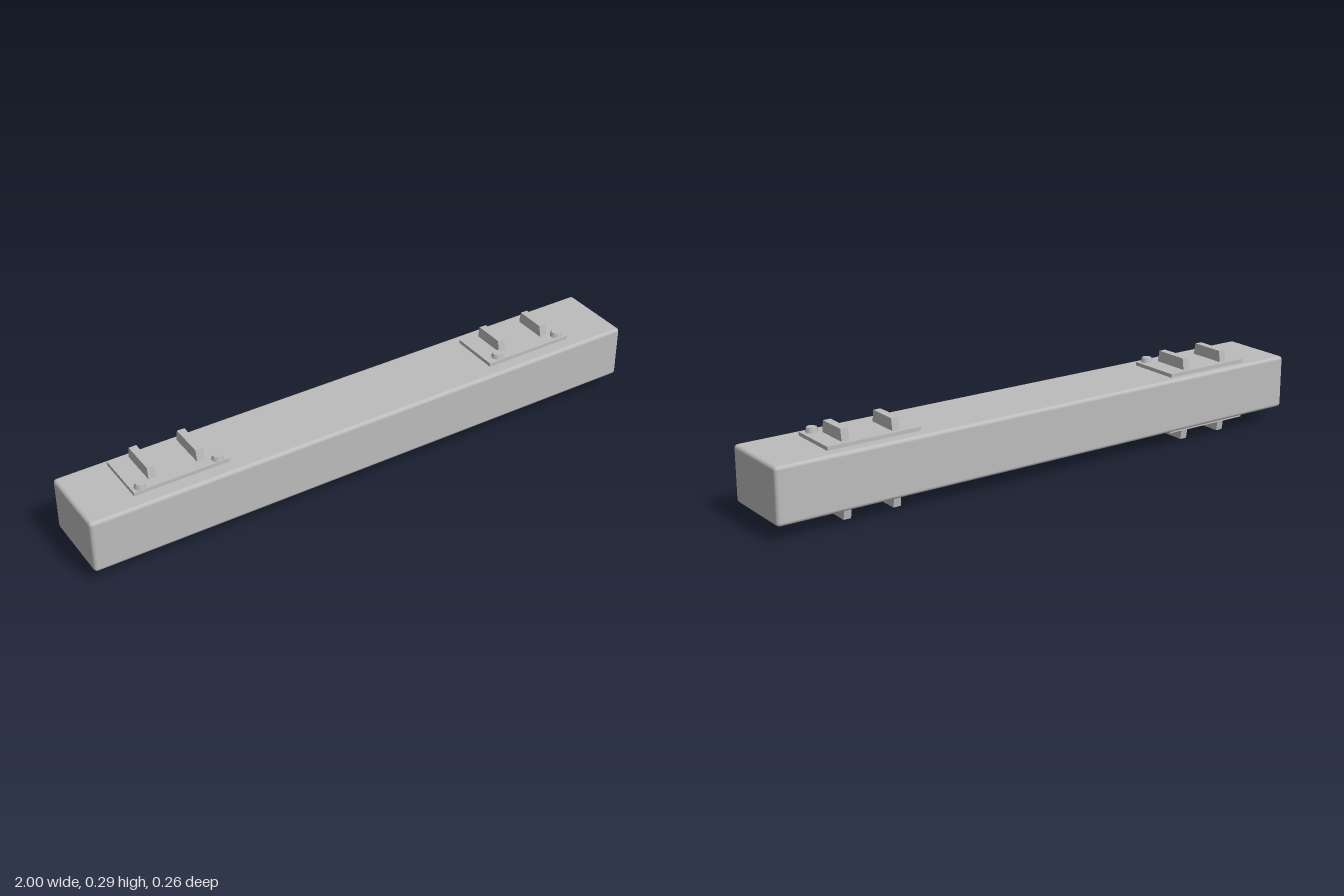
import * as THREE from 'three';
import { RoundedBoxGeometry } from 'three/addons/geometries/RoundedBoxGeometry.js';

const MID_Y = 0.145; // height of the beam's centre line

export function createModel() {
  const grey = new THREE.MeshStandardMaterial({ color: 0xbcbcbc });
  grey.name = 'plain grey';
  const model = new THREE.Group();
  model.name = 'railwaySleeper';

  const add = (parent, name, geometry, x, y, z) => {
    const mesh = new THREE.Mesh(geometry, grey);
    mesh.name = name;
    mesh.position.set(x, y, z);
    parent.add(mesh);
    return mesh;
  };

  // Long beam with softened edges
  add(model, 'beam', new RoundedBoxGeometry(2, 0.185, 0.265, 2, 0.012), 0, MID_Y, 0);

  // Upright rib: a trapezoid in the z-y plane, given thickness along x
  const ribGeometry = (front, back) => {
    const shape = new THREE.Shape();
    shape.moveTo(-front, 0);
    shape.lineTo(-back, 0);
    shape.lineTo(-back - 0.006, 0.04);
    shape.lineTo(-front + 0.007, 0.04);
    shape.closePath();
    const geometry = new THREE.ExtrudeGeometry(shape, { depth: 0.026, bevelEnabled: false });
    geometry.translate(0, 0, -0.013);
    geometry.rotateY(Math.PI / 2);
    return geometry;
  };

  const boltGeometry = new THREE.CylinderGeometry(0.017, 0.021, 0.017, 7);

  // The two rail fixings differ slightly in place and size
  const fixings = [
    { x: [-0.83, -0.505], z: [-0.107, 0.08], ribs: [-0.75, -0.585], rib: [0.044, -0.091], bolts: [-0.8, -0.537] },
    { x: [0.48, 0.805], z: [-0.09, 0.085], ribs: [0.56, 0.735], rib: [0.042, -0.075], bolts: [0.525, 0.773] },
  ];

  // Same fixings above and below; the lower set is turned over about z
  for (const side of [1, -1]) {
    const set = new THREE.Group();
    set.name = side > 0 ? 'topFixings' : 'bottomFixings';
    set.position.y = MID_Y;
    if (side < 0) set.rotation.z = Math.PI;
    model.add(set);
    for (const f of fixings) {
      const plate = new THREE.BoxGeometry(f.x[1] - f.x[0], 0.016, f.z[1] - f.z[0]);
      add(set, 'plate', plate, side * (f.x[0] + f.x[1]) / 2, 0.097, (f.z[0] + f.z[1]) / 2);
      for (const x of f.ribs) add(set, 'rib', ribGeometry(...f.rib), side * x, 0.104, 0);
      for (const x of f.bolts) add(set, 'bolt', boltGeometry, side * x, 0.1125, 0.062);
    }
  }
  return model;
}
